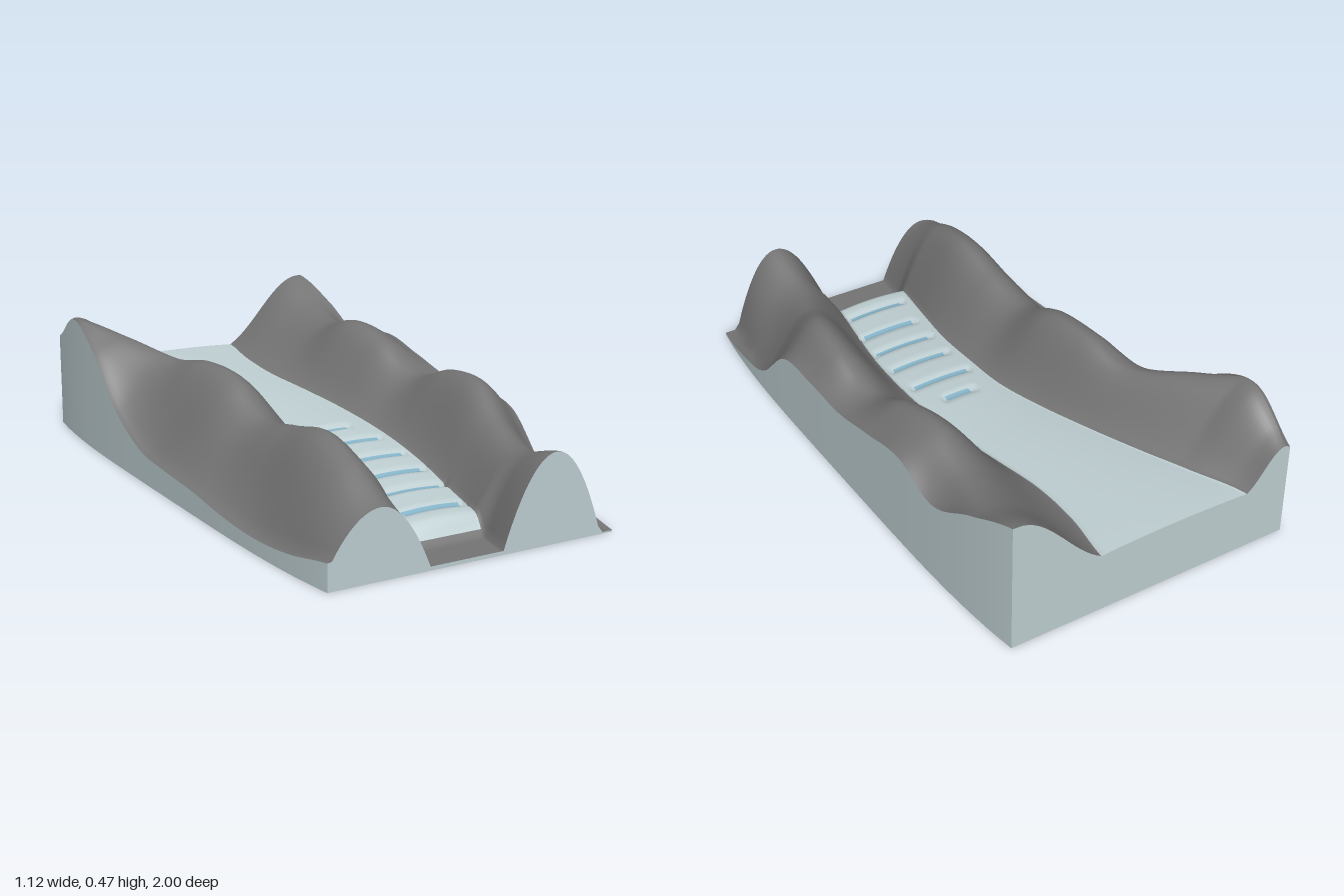
import * as THREE from 'three';

// Stations run from the front (z = 1) to the back (z = -1) in steps of 0.2
const iceLeft = [-.165, -.145, -.115, -.085, -.075, -.075, -.11, -.16, -.22, -.29, -.36];
const iceRight = [.1, .13, .165, .2, .22, .225, .215, .19, .165, .17, .2];
const iceHeight = [.055, .075, .09, .11, .13, .147, .163, .18, .195, .208, .217];
const ridgeA = {
  x: [-.34, -.32, -.3, -.3, -.3, -.29, -.3, -.33, -.44, -.55, -.5],
  top: [.23, .31, .35, .315, .29, .375, .39, .36, .41, .45, .35],
  edge: [.09, .06, .05, .06, .08, .09, .11, .2, .37, .445, .34],
};
const ridgeB = {
  x: [.29, .3, .36, .42, .44, .43, .42, .41, .44, .48, .505],
  top: [.3, .25, .28, .36, .355, .295, .38, .41, .365, .39, .465],
  edge: [.005, .03, .08, .25, .27, .27, .31, .345, .29, .385, .465],
};
// Crevasses: z, from x, to x
const crevasses = [[.02, .03, .13], [.15, -.03, .18], [.3, -.03, .18], [.44, -.04, .17], [.57, -.05, .15], [.73, -.09, .12]];

const { lerp, smoothstep, clamp } = THREE.MathUtils;
const ROWS = 160;
const COLS = [12, 16, 28, 16, 12]; // outer slope, inner slope, ice, inner slope, outer slope
const SNOUT = .85;

// Smooth value of a station list at depth z
function at(list, z) {
  const f = (1 - z) * 5, i = Math.min(Math.floor(f), 9), t = f - i;
  const [a, b, c, d] = [i - 1, i, i + 1, i + 2].map(k => list[clamp(k, 0, 10)]);
  return b + .5 * t * (c - a + t * (2 * a - 5 * b + 4 * c - d + t * (3 * (b - c) + d - a)));
}

const halfWidth = z => .56 - .04 * Math.pow(Math.abs(z), 4);

// Slope falling from crest (t = 0) to foot (t = 1), rounder near the front
function slope(t, z) {
  t = Math.min(t, 1);
  return lerp((1 + Math.cos(Math.PI * t)) / 2, 1 - t * t, lerp(.35, 1, smoothstep(z, .4, 1)));
}

// One cross-section of the valley, from -x to +x
function crossSection(z) {
  const w = halfWidth(z);
  const floor = lerp(at(iceHeight, z), .03 - .017 * z, smoothstep(z, .8, .88));
  const xs = [-w, Math.max(at(ridgeA.x, z), -w + .012), at(iceLeft, z), at(iceRight, z),
    Math.min(at(ridgeB.x, z), w - .012), w];
  const topA = at(ridgeA.top, z), topB = at(ridgeB.top, z);
  const edgeA = at(ridgeA.edge, z), edgeB = at(ridgeB.edge, z);
  const footB = 1 + .28 * Math.max(0, (z - .6) / .4);
  const crown = z < SNOUT ? .009 : 0;
  const heights = [
    t => lerp(edgeA, topA, slope((1 - t) * 1.08, z)),
    t => lerp(floor, topA, slope(t, z)),
    (t, x) => {
      let y = floor + crown * (1 - (2 * t - 1) ** 2);
      for (const [cz, x0, x1] of crevasses)
        if (x > x0 - .02 && x < x1 + .02) y -= .012 * Math.max(0, 1 - Math.abs(z - cz) / .03);
      return y;
    },
    t => lerp(floor, topB, slope(1 - t, z)),
    t => lerp(edgeB, topB, slope(t * footB, z)),
  ];
  const points = [];
  COLS.forEach((n, s) => {
    for (let i = s ? 1 : 0; i <= n; i++) {
      const t = i / n, x = lerp(xs[s], xs[s + 1], t);
      points.push(new THREE.Vector3(x, Math.max(heights[s](t, x), .003), z));
    }
  });
  return points;
}

// Mountain slopes, ice and crevasses share one smooth surface, split into material groups
function buildTerrain(sections, materials) {
  const width = sections[0].length;
  const faces = [[], [], []]; // rock, ice, crevasse
  const iceStart = COLS[0] + COLS[1], iceEnd = iceStart + COLS[2];
  for (let r = 0; r < ROWS; r++) {
    for (let c = 0; c < width - 1; c++) {
      const p = sections[r][c], q = sections[r + 1][c + 1];
      const x = (p.x + q.x) / 2, z = (p.z + q.z) / 2;
      let kind = 0;
      if (c >= iceStart && c < iceEnd && z < SNOUT) {
        kind = crevasses.some(([cz, x0, x1]) => Math.abs(z - cz) < .0125 && x > x0 && x < x1) ? 2 : 1;
      }
      const a = r * width + c, b = a + 1, d = a + width, e = d + 1;
      faces[kind].push(a, b, e, a, e, d);
    }
  }
  const geometry = new THREE.BufferGeometry().setFromPoints(sections.flat());
  geometry.setIndex(faces.flat());
  let start = 0;
  faces.forEach((f, i) => {
    geometry.addGroup(start, f.length, i);
    start += f.length;
  });
  geometry.computeVertexNormals();
  return new THREE.Mesh(geometry, materials);
}

// Vertical wall from a top line down to the ground
function buildWall(line, material) {
  const points = line.flatMap(p => [p, new THREE.Vector3(p.x, 0, p.z)]);
  const index = [];
  for (let i = 0; i < line.length - 1; i++) {
    const a = i * 2;
    index.push(a + 1, a + 3, a + 2, a + 1, a + 2, a);
  }
  const geometry = new THREE.BufferGeometry().setFromPoints(points);
  geometry.setIndex(index);
  geometry.computeVertexNormals();
  return new THREE.Mesh(geometry, material);
}

// Flat underside following the bowed outline
function buildUnderside(material) {
  const points = [], index = [];
  for (let i = 0; i <= 40; i++) {
    const z = 1 - i / 20, w = halfWidth(z);
    points.push(new THREE.Vector3(-w, 0, z), new THREE.Vector3(w, 0, z));
    const a = i * 2;
    if (i < 40) index.push(a, a + 3, a + 1, a, a + 2, a + 3);
  }
  const geometry = new THREE.BufferGeometry().setFromPoints(points);
  geometry.setIndex(index);
  geometry.computeVertexNormals();
  return new THREE.Mesh(geometry, material);
}

export function createModel() {
  const paint = (name, color) => {
    const material = new THREE.MeshStandardMaterial({ color });
    material.name = name;
    return material;
  };
  const rock = paint('grey rock', 0x757576);
  const ice = paint('pale ice', 0xc0d0d3);
  const blue = paint('crevasse blue', 0x86b4c8);

  const sections = Array.from({ length: ROWS + 1 }, (_, r) => crossSection(1 - 2 * r / ROWS));
  const model = new THREE.Group();
  model.name = 'glacierValley';
  const add = (name, mesh) => {
    mesh.name = name;
    model.add(mesh);
  };

  add('valleySurface', buildTerrain(sections, [rock, ice, blue]));
  add('frontWall', buildWall(sections[0], ice));
  add('leftWall', buildWall(sections.map(s => s[s.length - 1]), ice));
  add('backWall', buildWall([...sections[ROWS]].reverse(), ice));
  add('rightWall', buildWall(sections.map(s => s[0]).reverse(), ice));
  add('underside', buildUnderside(ice));
  return model;
}
